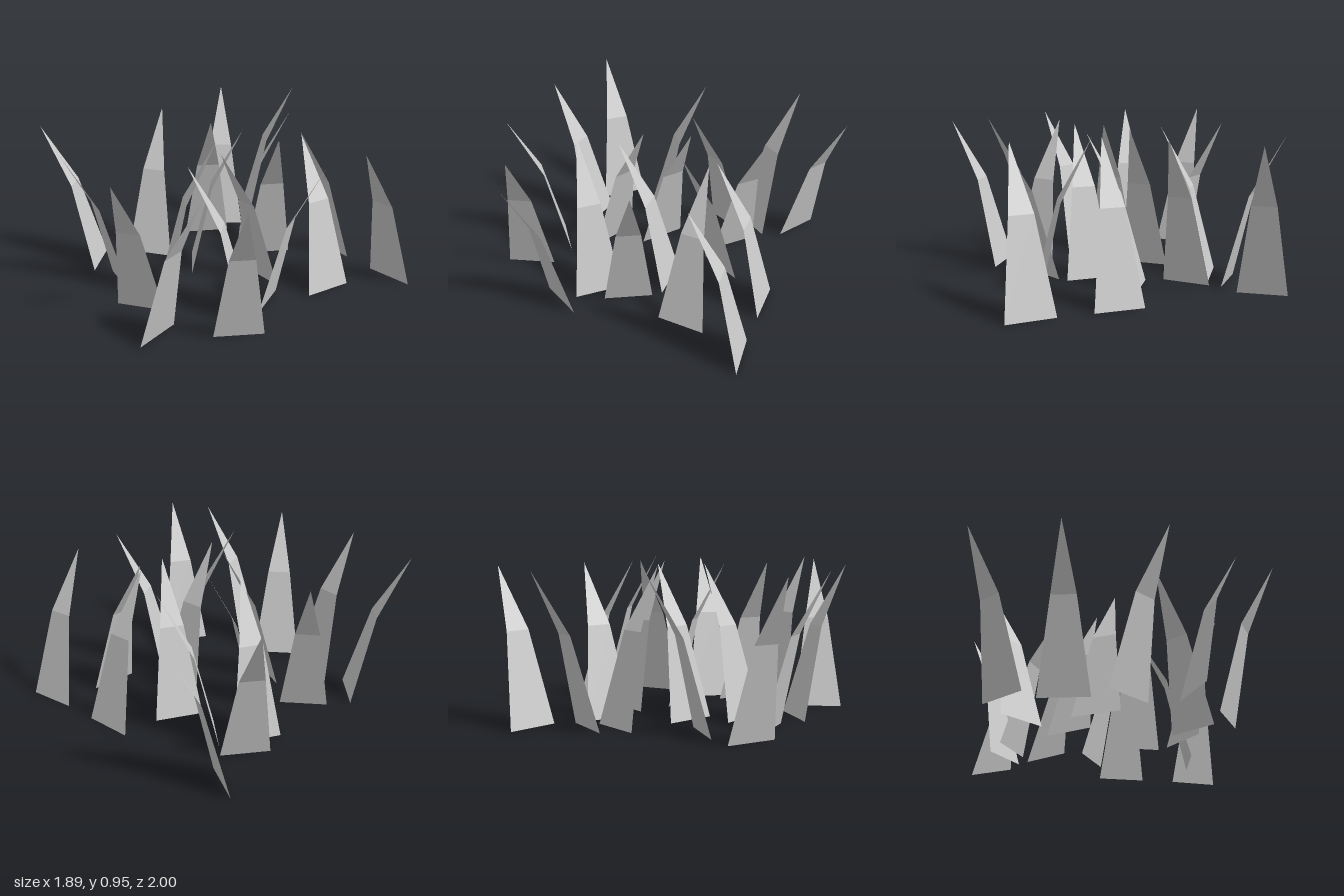
import * as THREE from 'three';

// Each blade: base centre x, z and tip x, z
const BLADES = [
  [-0.77, -0.70, -0.61, -1.00],
  [0.14, -0.77, 0.16, -0.43],
  [0.66, -0.81, 0.71, -0.47],
  [-0.67, -0.39, -0.945, -0.595],
  [-0.405, -0.36, -0.19, -0.62],
  [-0.10, -0.38, 0.205, -0.215],
  [0.55, -0.37, 0.205, -0.395],
  [-0.625, -0.23, -0.325, -0.07],
  [-0.28, 0.13, -0.09, -0.155],
  [0.16, -0.13, 0.18, 0.215],
  [0.435, 0.04, 0.73, -0.135],
  [-0.565, 0.295, -0.775, 0.025],
  [-0.14, 0.435, 0.005, 0.125],
  [0.465, 0.235, 0.225, 0.48],
  [0.64, 0.415, 0.94, 0.585],
  [-0.675, 0.62, -0.915, 0.865],
  [-0.335, 0.655, -0.385, 0.99],
  [0.02, 0.715, 0.23, 0.985],
  [0.36, 0.805, 0.695, 0.695],
];

// Flat blade, bent once, leaning along +z: base edge, mid edge, tip
function bladeGeometry() {
  const geometry = new THREE.BufferGeometry();
  geometry.setAttribute('position', new THREE.Float32BufferAttribute([
    -0.153, 0, 0, 0.153, 0, 0,
    -0.076, 0.573, 0.14, 0.076, 0.573, 0.14,
    0, 0.955, 0.344,
  ], 3));
  geometry.setIndex([0, 2, 1, 1, 2, 3, 2, 4, 3]);
  const flat = geometry.toNonIndexed();
  flat.computeVertexNormals();
  return flat;
}

export function createModel() {
  const group = new THREE.Group();
  group.name = 'grassClump';
  const grey = new THREE.MeshStandardMaterial({ color: 0xcccccc, side: THREE.DoubleSide, flatShading: true });
  grey.name = 'light grey';
  const geometry = bladeGeometry();

  // Scatter the blades, each turned to lean towards its tip
  BLADES.forEach(([x, z, tipX, tipZ], i) => {
    const blade = new THREE.Mesh(geometry, grey);
    blade.name = `grassBlade${i + 1}`;
    blade.position.set(x, 0, z);
    blade.rotation.y = Math.atan2(tipX - x, tipZ - z);
    group.add(blade);
  });
  return group;
}
